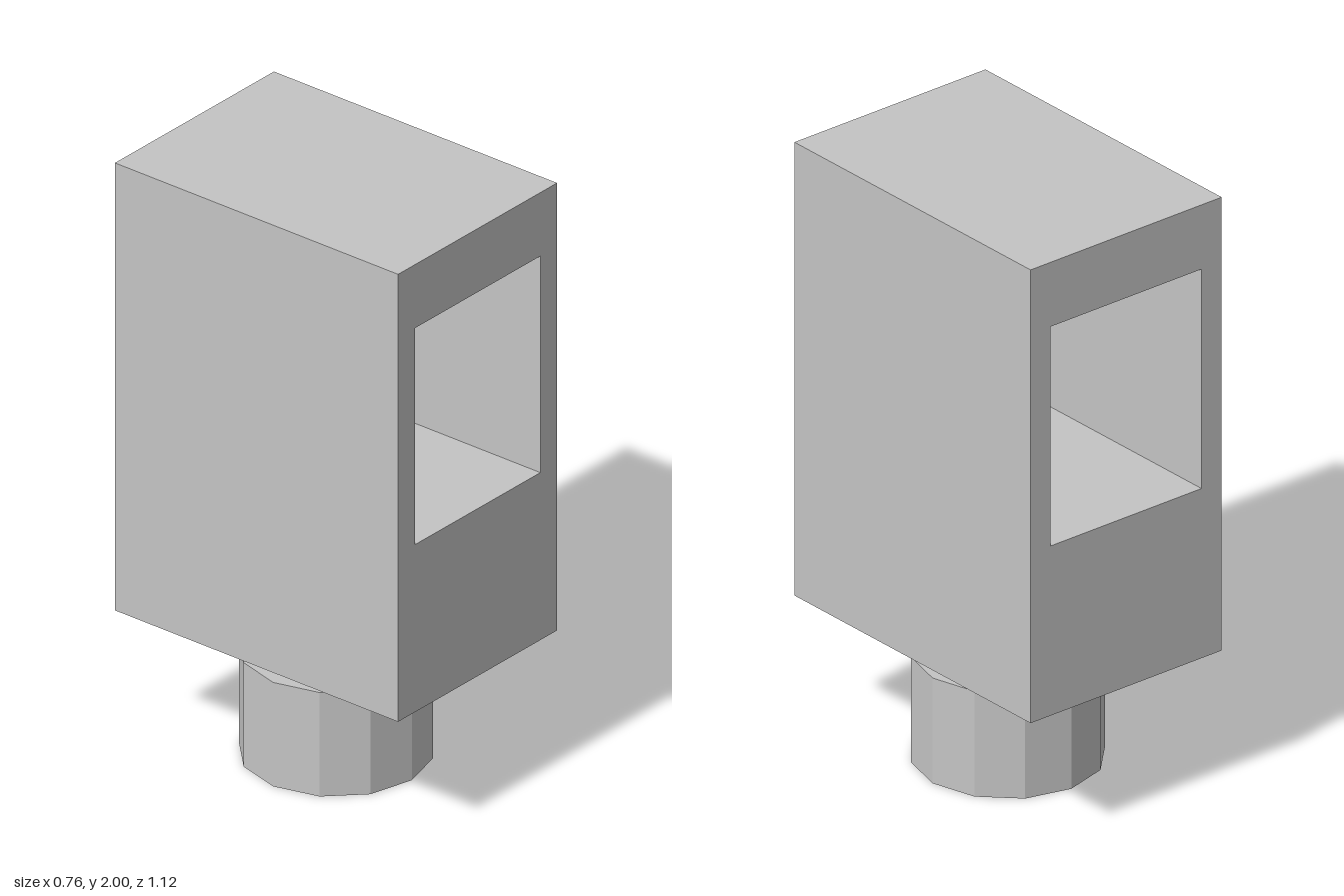
import * as THREE from 'three';

export function createModel() {
  const model = new THREE.Group();
  const grey = new THREE.MeshStandardMaterial({ color: 0xc4c4c4, flatShading: true });
  grey.name = 'light grey';

  const add = (name, geometry, y = 0) => {
    const mesh = new THREE.Mesh(geometry, grey);
    mesh.name = name;
    mesh.position.y = y;
    model.add(mesh);
  };

  const rectangle = (Type, x, bottom, top) => new Type([
    new THREE.Vector2(-x, bottom), new THREE.Vector2(x, bottom),
    new THREE.Vector2(x, top), new THREE.Vector2(-x, top),
  ]);

  // Rectangular housing with an opening running from front to back
  const outline = rectangle(THREE.Shape, 0.38, 0.45, 2);
  outline.holes.push(rectangle(THREE.Path, 0.3, 1.03, 1.78));
  const housing = new THREE.ExtrudeGeometry(outline, { depth: 1.12, bevelEnabled: false });
  housing.translate(0, 0, -0.56);
  add('housing', housing);

  // Twelve-sided base and the narrower neck above it
  add('base', new THREE.CylinderGeometry(0.3, 0.3, 0.36, 12), 0.18);
  add('neck', new THREE.CylinderGeometry(0.225, 0.225, 0.09, 12), 0.405);

  return model;
}
